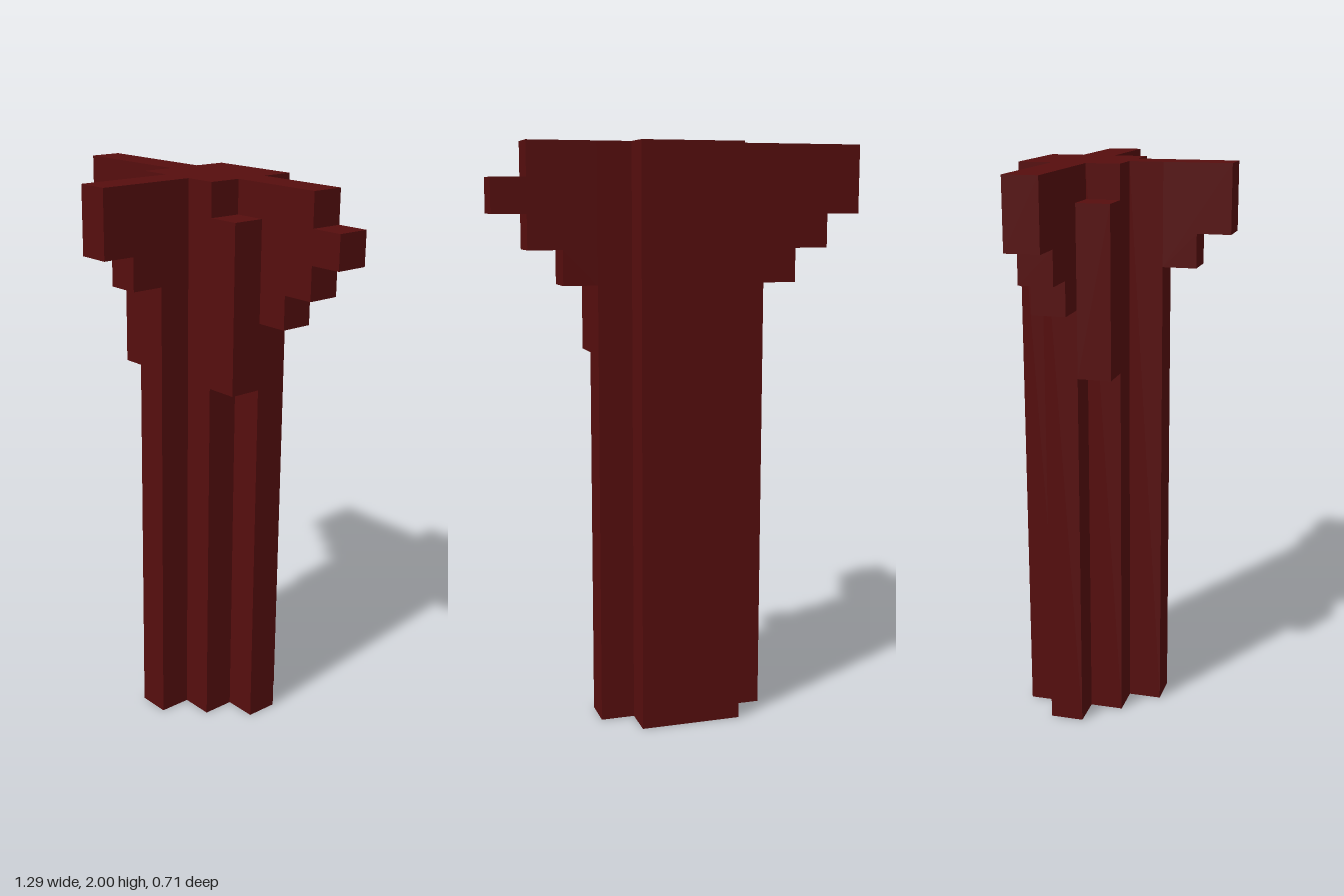
import * as THREE from 'three';

// One cell of the block grid: the model is 17 cells tall
const U = 2 / 17;

const darkRed = new THREE.MeshStandardMaterial({ color: 0x560e0e });
darkRed.name = 'darkRed';

// Flat-sided slab from an outline given in cells, extruded along z from 0
function slab(points, depth) {
  const shape = new THREE.Shape(points.map(([x, y]) => new THREE.Vector2(x * U, y * U)));
  return new THREE.ExtrudeGeometry(shape, { depth: depth * U, bevelEnabled: false });
}

function addPart(group, name, geometry) {
  const mesh = new THREE.Mesh(geometry, darkRed);
  mesh.name = name;
  group.add(mesh);
}

export function createModel() {
  const model = new THREE.Group();
  model.name = 'blockPillar';

  // Trunk: stepped plan (x, -z), wide at the back and narrowing to the front
  const half = [[0.5, -1], [0.5, 0], [1.5, 0], [1.5, 1], [2.5, 1], [2.5, 2], [1.5, 2], [1.5, 3]];
  const plan = [...half, ...half.map(([x, y]) => [-x, y]).reverse()];
  addPart(model, 'trunk', slab(plan, 17).rotateX(-Math.PI / 2));

  // Buttress blocks in the front corners of the trunk
  for (const [side, name] of [[1, 'leftButtress'], [-1, 'rightButtress']]) {
    const block = new THREE.BoxGeometry(U, 5 * U, U);
    block.translate(side * 2 * U, 13.5 * U, -0.5 * U);
    addPart(model, name, block);
  }

  // Side branches: stepped underneath, the left tip is one cell lower on top
  const under = [[2.5, 13], [3.5, 13], [3.5, 14], [4.5, 14], [4.5, 15], [5.5, 15]];
  const leftArm = [...under, [5.5, 16], [4.5, 16], [4.5, 17], [2.5, 17]];
  const rightArm = [...under, [5.5, 17], [2.5, 17]].map(([x, y]) => [-x, y]);
  addPart(model, 'leftBranch', slab(leftArm, 1).translate(0, 0, -2 * U));
  addPart(model, 'rightBranch', slab(rightArm, 1).translate(0, 0, -2 * U));

  // Front branch: stepped profile (z, y) turned to face forward
  const front = [[1, 14], [2, 14], [2, 15], [3, 15], [3, 17], [1, 17]];
  addPart(model, 'frontBranch', slab(front, 1).translate(0, 0, -U / 2).rotateY(-Math.PI / 2));

  return model;
}
